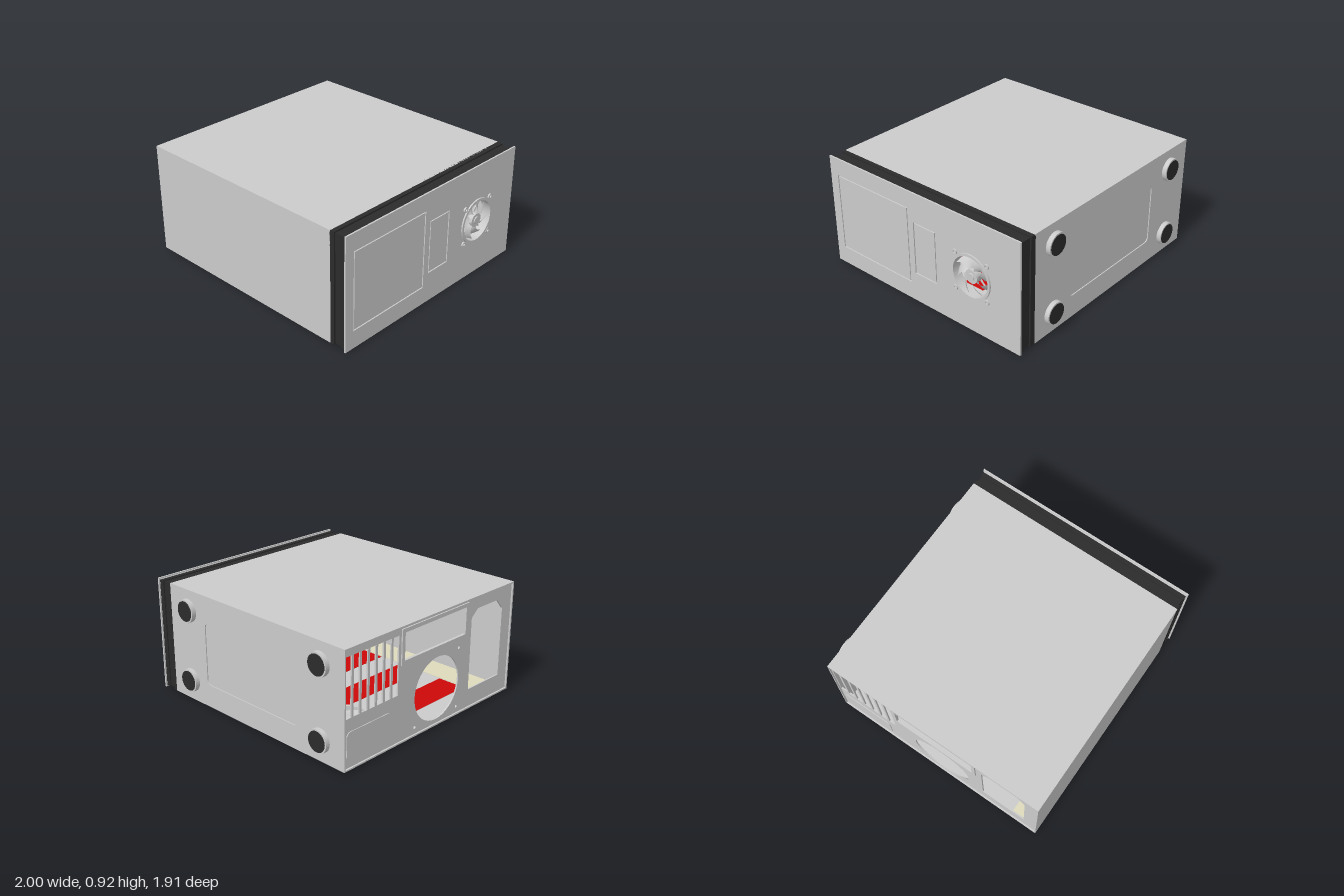
import * as THREE from 'three';

const material = (color) => new THREE.MeshStandardMaterial({ color, side: THREE.DoubleSide });
const grey = material(0xcccccc), black = material(0x2b2b2b), red = material(0xcc0808), beige = material(0xdedabc);

// Outlines drawn between two corners
function rect(C, u0, v0, u1, v1, r = 0) {
  const s = new C();
  if (!r) {
    s.setFromPoints([[u0, v0], [u1, v0], [u1, v1], [u0, v1]].map((p) => new THREE.Vector2(...p)));
    s.closePath();
    return s;
  }
  s.absarc(u1 - r, v0 + r, r, -Math.PI / 2, 0);
  s.absarc(u1 - r, v1 - r, r, 0, Math.PI / 2);
  s.absarc(u0 + r, v1 - r, r, Math.PI / 2, Math.PI);
  s.absarc(u0 + r, v0 + r, r, Math.PI, Math.PI * 1.5);
  s.closePath();
  return s;
}
const shape = (...a) => rect(THREE.Shape, ...a);
const hole = (...a) => rect(THREE.Path, ...a);
const circle = (C, u, v, r) => new C().absarc(u, v, r, 0, Math.PI * 2);
const polygon = (C, pts) => new C(pts.map((p) => new THREE.Vector2(...p)));

function plate(name, outline, holes, depth, mat = grey) {
  outline.holes.push(...holes);
  const geo = new THREE.ExtrudeGeometry(outline, { depth, bevelEnabled: false, curveSegments: 24 });
  const m = new THREE.Mesh(geo, mat);
  m.name = name;
  return m;
}
// Plate drawn in (z, y); its outside starts at x and it extends towards -x
function plateX(name, x, outline, holes, depth, mat) {
  const m = plate(name, outline, holes, depth, mat);
  m.rotation.y = -Math.PI / 2;
  m.position.x = x;
  return m;
}
// Plate drawn in (x, z); it hangs down from height y
function plateY(name, y, outline, holes, depth, mat) {
  const m = plate(name, outline, holes, depth, mat);
  m.rotation.x = Math.PI / 2;
  m.position.y = y;
  return m;
}
function box(name, x0, x1, y0, y1, z0, z1, mat = grey) {
  const m = new THREE.Mesh(new THREE.BoxGeometry(x1 - x0, y1 - y0, z1 - z0), mat);
  m.position.set((x0 + x1) / 2, (y0 + y1) / 2, (z0 + z1) / 2);
  m.name = name;
  return m;
}

// Fan facing +z: flat ring with four screw ears, duct, hub and swept blades
function makeFan(name) {
  const fan = new THREE.Group();
  fan.name = name;
  fan.add(plate('fanRing', circle(THREE.Shape, 0, 0, 0.182), [circle(THREE.Path, 0, 0, 0.162)], 0.012));
  const duct = new THREE.Mesh(new THREE.CylinderGeometry(0.162, 0.162, 0.07, 48, 1, true), grey);
  duct.rotation.x = Math.PI / 2;
  duct.position.z = -0.03;
  duct.name = 'fanDuct';
  fan.add(duct);
  for (const sx of [-1, 1]) for (const sy of [-1, 1]) {
    const ear = plate('fanEar', circle(THREE.Shape, 0, 0, 0.021), [circle(THREE.Path, 0, 0, 0.01)], 0.012);
    ear.position.set(sx * 0.148, sy * 0.148, 0);
    fan.add(ear);
  }
  const hub = new THREE.Mesh(new THREE.CylinderGeometry(0.055, 0.055, 0.05, 32), grey);
  hub.rotation.x = Math.PI / 2;
  hub.position.z = -0.025;
  hub.name = 'fanHub';
  const cap = new THREE.Mesh(new THREE.CylinderGeometry(0.028, 0.03, 0.008, 32), grey);
  cap.rotation.x = Math.PI / 2;
  cap.position.z = 0.003;
  cap.name = 'fanCap';
  fan.add(hub, cap);
  // Blade surface: radius along u, angle and pitch along v
  const geo = new THREE.PlaneGeometry(1, 1, 10, 6);
  const p = geo.attributes.position;
  for (let i = 0; i < p.count; i++) {
    const u = p.getX(i) + 0.5, v = p.getY(i);
    const r = 0.05 + 0.103 * u, a = 0.7 * u * u + v * (0.5 + 0.25 * Math.sin(u * Math.PI));
    p.setXYZ(i, r * Math.cos(a), r * Math.sin(a), -0.027 + 0.045 * v);
  }
  geo.computeVertexNormals();
  for (let i = 0; i < 7; i++) {
    const blade = new THREE.Mesh(geo, grey);
    blade.rotation.z = (i / 7) * Math.PI * 2;
    blade.name = 'fanBlade';
    fan.add(blade);
  }
  for (let i = 0; i < 2; i++) {
    const strut = new THREE.Mesh(new THREE.BoxGeometry(0.322, 0.012, 0.008), grey);
    strut.position.z = -0.058;
    strut.rotation.z = Math.PI / 4 + i * Math.PI / 2;
    strut.name = 'fanStrut';
    fan.add(strut);
  }
  return fan;
}

export function createModel() {
  const model = new THREE.Group();
  const Y0 = 0.015, Y1 = 0.915, Z0 = -0.92, Z1 = 0.94, T = 0.012;

  // Case shell
  model.add(box('upperWall', -1, 0.84, Y1 - T, Y1, Z0, Z1));
  model.add(box('frontWall', -1, 0.84, Y0, Y1, Z1 - T, Z1));
  const foot = plate('footWall', shape(-1, Y0, 0.84, Y1), [hole(-0.55, 0.2, 0.44, 0.7, 0.04)], 0.01);
  foot.position.z = Z0;
  model.add(foot, box('footWallRecess', -0.6, 0.5, 0.15, 0.75, Z0 + 0.008, Z0 + 0.014));

  // Feet with dark pads
  for (const x of [-0.77, 0.63]) for (const y of [0.18, 0.75]) {
    const g = new THREE.Group();
    g.name = 'foot';
    const ring = new THREE.Mesh(new THREE.CylinderGeometry(0.092, 0.092, 0.036, 32), grey);
    const pad = new THREE.Mesh(new THREE.CylinderGeometry(0.08, 0.08, 0.004, 32), black);
    pad.position.y = -0.018;
    g.add(ring, pad);
    g.rotation.x = Math.PI / 2;
    g.position.set(x, y, Z0 - 0.018);
    model.add(g);
  }

  // Lower side panel with red inlays cut around its fan
  const fx = -0.525, fz = -0.43, R = 0.33, S = 1.28;
  model.add(plateY('sidePanel', Y0 + T, shape(-1, Z0, 0.84, Z1), [circle(THREE.Path, fx, fz, 0.165 * S)], T));
  model.add(box('innerFloor', -0.98, 0.82, Y0 + T, Y0 + T + 0.003, 0.7, Z1 - T, beige));
  const inlay = (pts, a0, a1, clockwise) => {
    const s = polygon(THREE.Shape, pts);
    if (a0 !== undefined) s.absarc(fx, fz, R, a0, a1, clockwise);
    s.closePath();
    model.add(plateY('redInlay', Y0 + T + 0.002, s, [], T + 0.004, red));
  };
  inlay([[0.6, -0.42], [0.6, -0.67]], Math.asin(-0.24 / R), Math.asin(0.01 / R), false);
  inlay([[0.6, -0.23], [0.6, -0.01], [-0.1, -0.01], [-0.1, 0.69], [-0.33, 0.69]],
    Math.acos(0.195 / R), Math.asin(0.2 / R), true);
  inlay([[0.6, 0.17], [0.6, 0.69], [0.11, 0.69], [0.11, 0.17]]);
  inlay([[-0.52, 0.69], [-0.76, 0.69]], Math.acos(-0.235 / R), Math.acos(0.005 / R), true);
  const sideFan = makeFan('sideFan');
  sideFan.scale.set(S, S, 1);
  sideFan.rotation.x = Math.PI / 2;
  sideFan.position.set(fx, 0.012, fz);
  model.add(sideFan);

  // Rear panel: seven card slots, port opening, round vent, power supply cutout
  const cutouts = [
    hole(-0.32, 0.65, 0.36, 0.86),
    circle(THREE.Path, 0.06, 0.31, 0.25),
    polygon(THREE.Path, [[0.44, 0.17], [0.82, 0.17], [0.82, 0.73], [0.75, 0.81], [0.51, 0.81], [0.44, 0.75]]),
  ];
  for (let i = 0; i < 7; i++) cutouts.push(hole(-0.9 + i * 0.078, 0.4, -0.842 + i * 0.078, 0.85));
  for (const [z, y] of [[-0.18, 0.08], [0.3, 0.08], [0.3, 0.56]]) cutouts.push(circle(THREE.Path, z, y, 0.012));
  model.add(plateX('rearPanel', -0.975, shape(Z0 + 0.01, Y0 + 0.01, Z1 - 0.01, Y1 - 0.01), cutouts, T));
  model.add(plateX('portFrame', -0.985, shape(-0.35, 0.62, 0.39, 0.89), [hole(-0.32, 0.65, 0.36, 0.86)], 0.012));
  model.add(plateX('rearStamp', -0.985, shape(-0.89, 0.08, -0.44, 0.3, 0.04), [], 0.008));

  // Ribbed black band behind the face
  for (const [x0, x1, inset] of [[0.83, 0.875, 0], [0.875, 0.93, 0.012], [0.93, 0.972, 0.004]]) {
    model.add(plateX('blackBand', x1, shape(Z0 + inset, Y0 + inset, Z1 - inset, Y1 - inset),
      [hole(Z0 + 0.03, Y0 + 0.03, Z1 - 0.03, Y1 - 0.03)], x1 - x0, black));
  }

  // Face panel with two grooved covers and a fan
  const fanZ = -0.48, fanY = 0.465;
  const covers = [[0.13, 0.15, 0.87, 0.785], [-0.142, 0.25, 0.077, 0.685]];
  const vent = () => circle(THREE.Path, fanZ, fanY, 0.165);
  model.add(plateX('facePanel', 0.988, shape(-0.925, 0.006, 0.948, 0.924),
    [vent(), ...covers.map((c) => hole(...c))], 0.013));
  model.add(plateX('faceBacking', 0.975, shape(-0.915, 0.016, 0.938, 0.914), [vent()], 0.008));
  covers.forEach(([a, b, c, d]) =>
    model.add(box('faceCover', 0.97, 0.987, b + 0.009, d - 0.009, a + 0.009, c - 0.009)));
  const faceFan = makeFan('faceFan');
  faceFan.rotation.y = Math.PI / 2;
  faceFan.position.set(0.988, fanY, fanZ);
  model.add(faceFan);

  return model;
}
